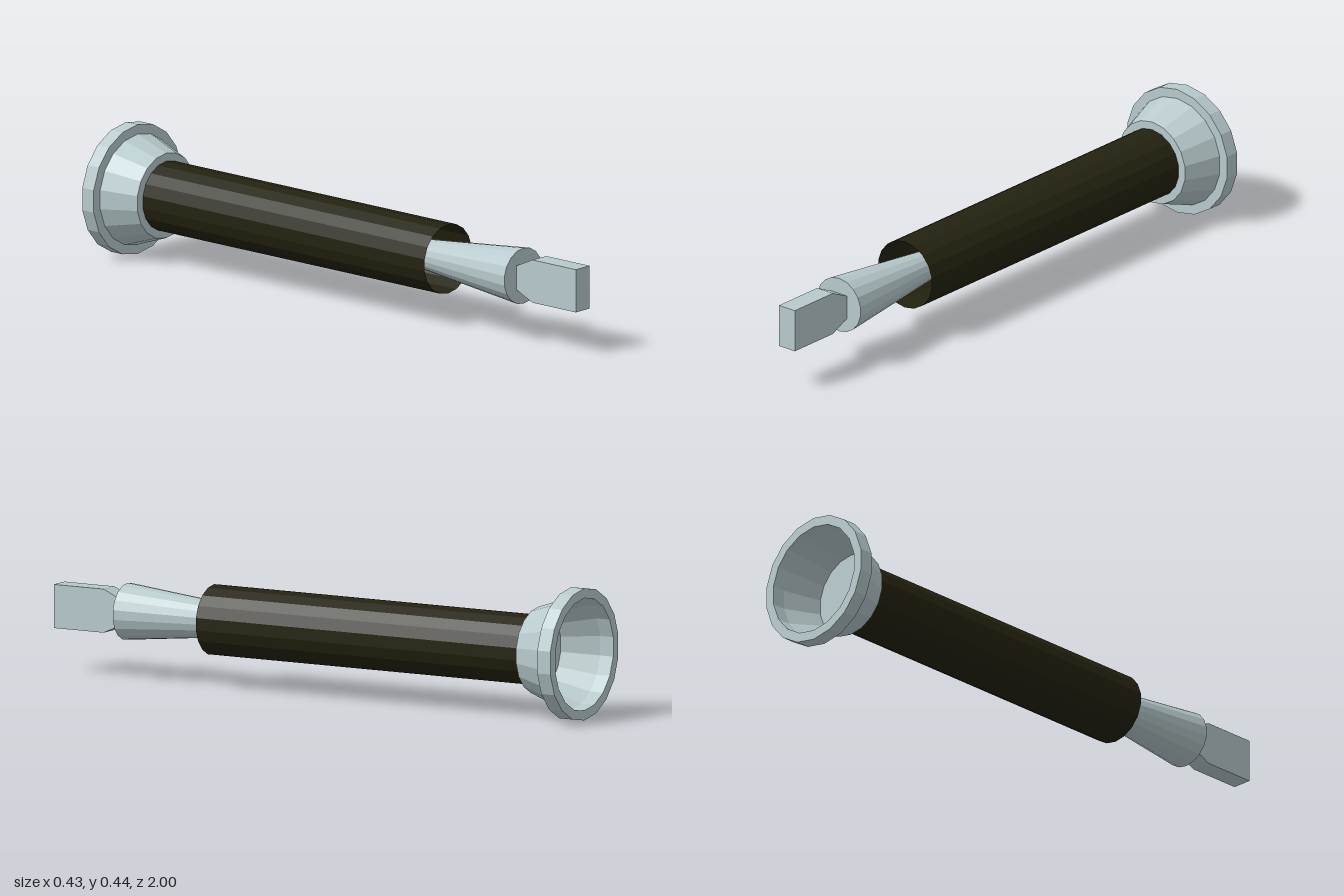
import * as THREE from 'three';

const SIDES = 18;
const AXIS_Y = 0.218;

const metal = new THREE.MeshStandardMaterial({ color: 0xb8cacd, flatShading: true, side: THREE.DoubleSide });
metal.name = 'paleMetal';
const grip = new THREE.MeshStandardMaterial({ color: 0x24220f, flatShading: true, side: THREE.DoubleSide });
grip.name = 'darkGrip';

// Revolve a profile of [radius, z] pairs around the z axis
function turned(name, profile, material) {
  const geo = new THREE.LatheGeometry(profile.map(([r, z]) => new THREE.Vector2(r, z)), SIDES);
  geo.rotateX(Math.PI / 2);
  const mesh = new THREE.Mesh(geo, material);
  mesh.name = name;
  mesh.position.y = AXIS_Y;
  return mesh;
}

// Flat blade with a neck narrowing towards the collar
function makeBlade() {
  const half = 0.034;
  const outline = [[0.735, -0.038], [0.81, -0.072], [1, -0.072], [1, 0.072], [0.81, 0.072], [0.735, 0.038]];
  const shape = new THREE.Shape(outline.map(([z, y]) => new THREE.Vector2(z, y)));
  const geo = new THREE.ExtrudeGeometry(shape, { depth: half * 2, bevelEnabled: false });
  geo.rotateY(-Math.PI / 2).translate(half, 0, 0);
  const mesh = new THREE.Mesh(geo, metal);
  mesh.name = 'blade';
  mesh.position.y = AXIS_Y;
  return mesh;
}

export function createModel() {
  const model = new THREE.Group();
  model.name = 'tool';
  model.add(
    // Hollow cup open at the back, with a thick flange
    turned('cup', [[0.186, -0.95], [0.186, -1], [0.218, -1], [0.218, -0.95],
      [0.186, -0.95], [0.143, -0.825], [0, -0.825]], metal),
    // Open sleeve
    turned('sleeve', [[0.1165, -0.824], [0.1165, 0.41]], grip),
    // Tapered collar running into the sleeve
    turned('taperedCollar', [[0, 0], [0.018, 0], [0.094, 0.74], [0, 0.74]], metal),
    makeBlade(),
  );
  return model;
}
